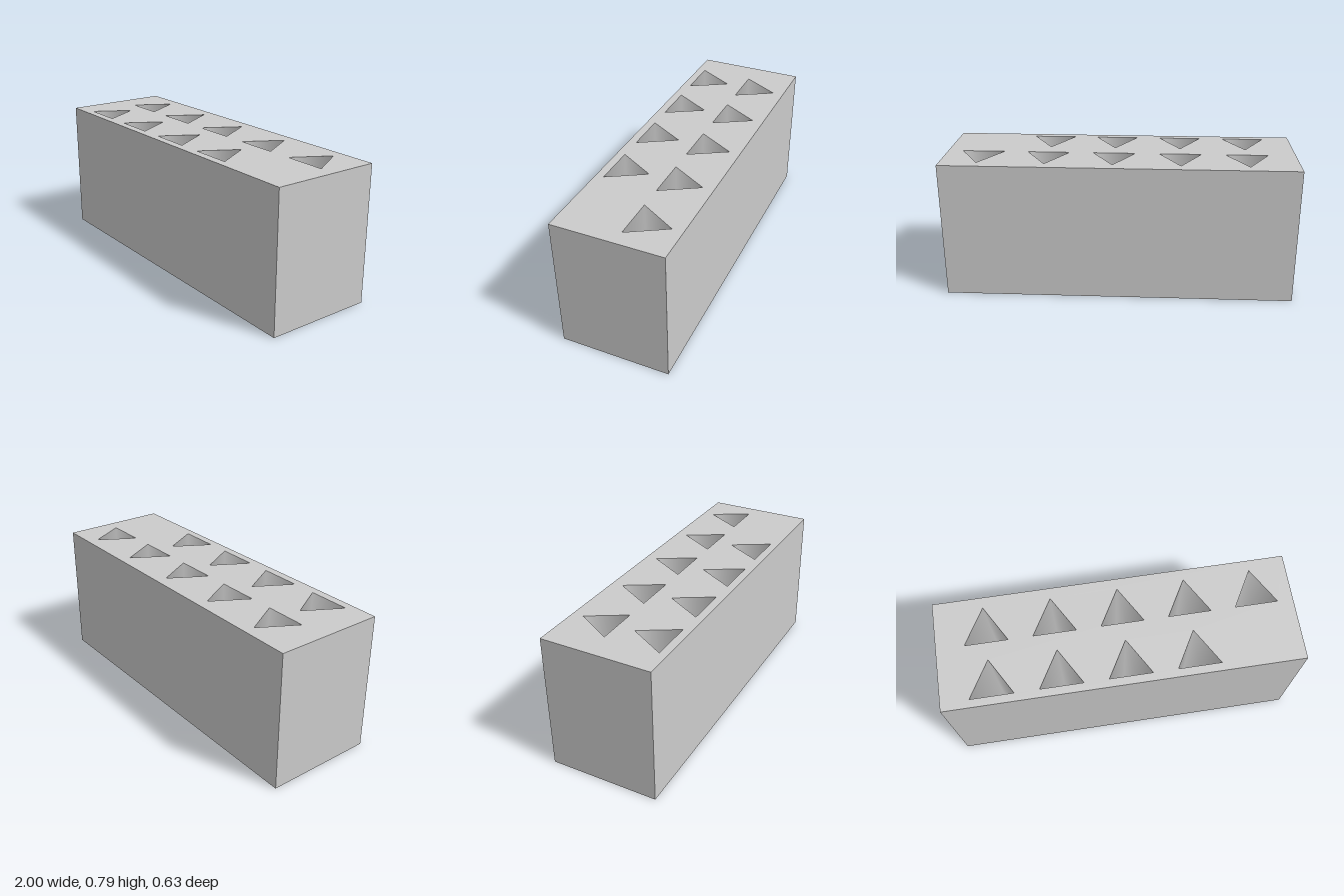
import * as THREE from 'three';

const HEIGHT = 0.787, HALF_X = 1, HALF_Z = 0.314;
const HOLE_RADIUS = 0.139, PITCH = 0.3785, FIRST_X = -0.722;

// Hole centres [x, z]: five in the back row, four in the front row
const holes = [];
for (const [count, z] of [[5, -0.112], [4, 0.198]]) {
  for (let i = 0; i < count; i++) holes.push([FIRST_X + i * PITCH, z]);
}

// Triangle pointing to the back (shape y becomes -z)
function trianglePath(x, z) {
  const points = [];
  for (let i = 0; i < 3; i++) {
    const a = Math.PI / 2 - (i * Math.PI * 2) / 3;
    points.push(new THREE.Vector2(x + HOLE_RADIUS * Math.cos(a), -z + HOLE_RADIUS * Math.sin(a)));
  }
  return new THREE.Path(points);
}

// Radial normals make each hole shade like a smooth three-sided bore
function smoothHoleWalls(geometry) {
  const pos = geometry.attributes.position, normal = geometry.attributes.normal;
  for (let i = 0; i < pos.count; i++) {
    const x = pos.getX(i), z = pos.getZ(i);
    if (Math.abs(normal.getY(i)) > 0.5 || Math.abs(x) > HALF_X - 0.01) continue;
    const [cx, cz] = holes.find(([hx, hz]) => Math.hypot(hx - x, hz - z) < HOLE_RADIUS + 0.005);
    normal.setXYZ(i, (cx - x) / HOLE_RADIUS, 0, (cz - z) / HOLE_RADIUS);
  }
}

export function createModel() {
  const group = new THREE.Group();
  group.name = 'perforatedBlock';

  // Rectangular block with triangular through-holes
  const outline = new THREE.Shape([
    new THREE.Vector2(-HALF_X, -HALF_Z), new THREE.Vector2(HALF_X, -HALF_Z),
    new THREE.Vector2(HALF_X, HALF_Z), new THREE.Vector2(-HALF_X, HALF_Z),
  ]);
  outline.holes = holes.map(([x, z]) => trianglePath(x, z));
  const geometry = new THREE.ExtrudeGeometry(outline, { depth: HEIGHT, bevelEnabled: false });
  geometry.rotateX(-Math.PI / 2);
  smoothHoleWalls(geometry);

  const block = new THREE.Mesh(geometry, new THREE.MeshStandardMaterial({ color: 0xcccccc }));
  block.name = 'block';
  group.add(block);
  return group;
}
